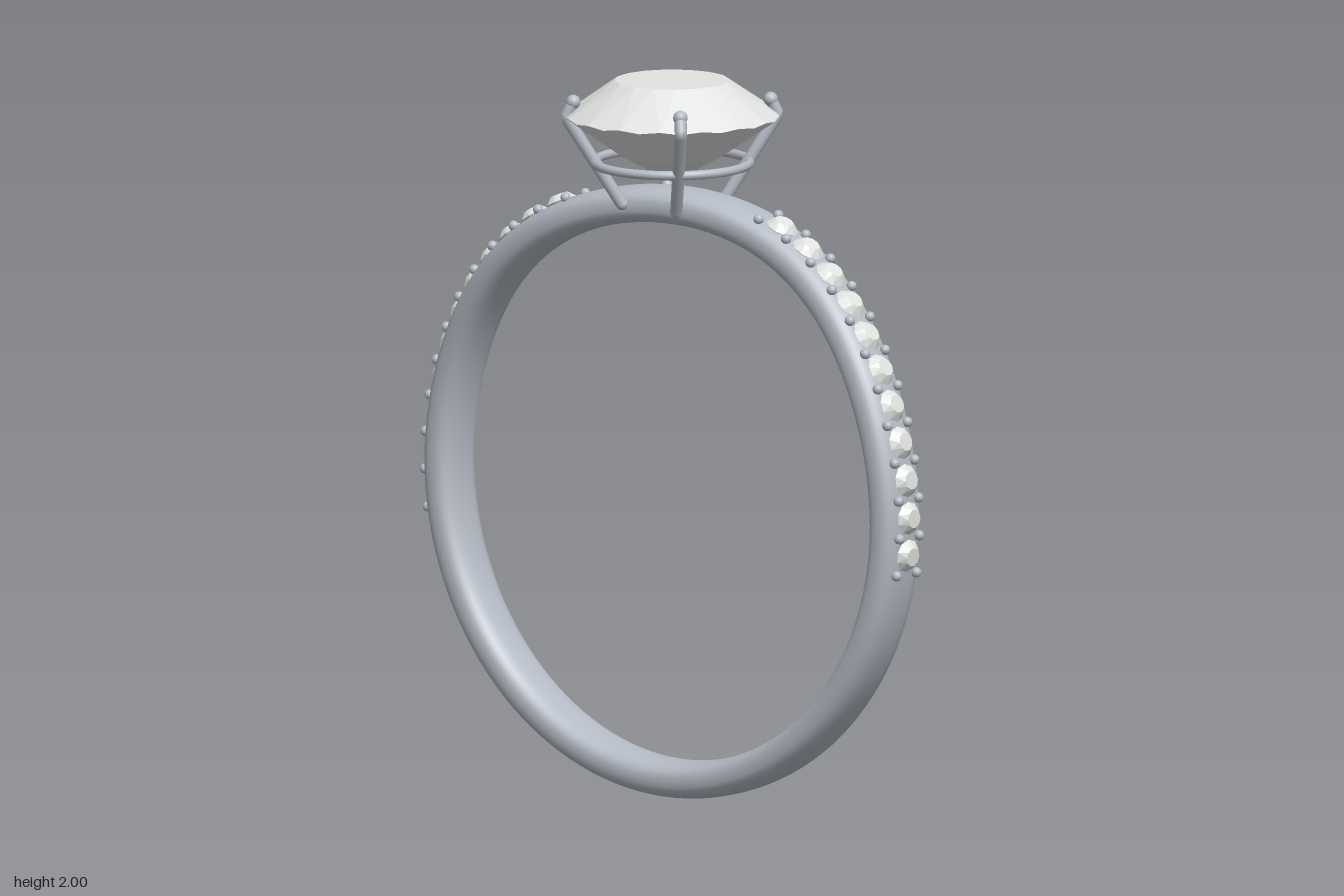
import * as THREE from 'three';

const CENTER_Y = 0.853;  // middle of the finger hole
const RADIUS = 0.8;      // centre line of the band

// Sideways sweep of the band: the two shoulders swing to opposite sides near the top
function sway(t) {
  const c = Math.max(0, Math.cos(t));
  return -0.139 * Math.sin(t) * c * c * c;
}

// Closed band built from soft-cornered cross-sections, t measured from the top towards +x
function bandGeometry(steps = 128, sides = 32) {
  const positions = [], index = [];
  const soft = v => Math.sign(v) * Math.pow(Math.abs(v), 0.8);
  for (let i = 0; i < steps; i++) {
    const t = (i / steps) * Math.PI * 2;
    for (let j = 0; j < sides; j++) {
      const p = (j / sides) * Math.PI * 2;
      const r = RADIUS + 0.051 * soft(Math.cos(p));
      positions.push(r * Math.sin(t), CENTER_Y + r * Math.cos(t), sway(t) + 0.079 * soft(Math.sin(p)));
      const i2 = (i + 1) % steps, j2 = (j + 1) % sides;
      const a = i * sides + j, b = i * sides + j2, c = i2 * sides + j2, d = i2 * sides + j;
      index.push(a, b, d, b, c, d);
    }
  }
  const g = new THREE.BufferGeometry();
  g.setAttribute('position', new THREE.Float32BufferAttribute(positions, 3));
  g.setIndex(index);
  g.computeVertexNormals();
  return g;
}

// Cut stone: a lathe whose rings are each turned half a step, giving triangular facets
function gemGeometry(profile, sides) {
  const g = new THREE.LatheGeometry(profile.map(p => new THREE.Vector2(p[0], p[1])), sides);
  const pos = g.attributes.position, v = new THREE.Vector3(), up = new THREE.Vector3(0, 1, 0);
  for (let i = 0; i < pos.count; i++) {
    const ring = i % profile.length;
    v.fromBufferAttribute(pos, i).applyAxisAngle(up, ring * Math.PI / sides);
    pos.setXYZ(i, v.x, v.y, v.z);
  }
  g.computeVertexNormals();
  return g;
}

export function createModel() {
  const metal = new THREE.MeshStandardMaterial({ color: 0xb4bac4 });
  metal.name = 'silver metal';
  const crystal = new THREE.MeshStandardMaterial({ color: 0xe0e3e0, flatShading: true });
  crystal.name = 'clear stone';

  const model = new THREE.Group();
  model.name = 'ring';
  const add = (parent, name, geometry, material, x = 0, y = 0, z = 0) => {
    const mesh = new THREE.Mesh(geometry, material);
    mesh.name = name;
    mesh.position.set(x, y, z);
    parent.add(mesh);
    return mesh;
  };

  add(model, 'band', bandGeometry(), metal);

  // Main stone: culet, pavilion, girdle, crown, table
  add(model, 'mainStone', gemGeometry(
    [[0, 1.715], [0.14, 1.79], [0.296, 1.898], [0.296, 1.904], [0.158, 2], [0, 2]], 16), crystal);

  // Setting: gallery wire and four prongs
  const setting = new THREE.Group();
  setting.name = 'setting';
  model.add(setting);
  add(setting, 'galleryWire', new THREE.TorusGeometry(0.213, 0.013, 12, 64), metal, 0, 1.77, 0).rotation.x = Math.PI / 2;
  const path = new THREE.CurvePath();
  const points = [[0.138, 1.655], [0.292, 1.9], [0.272, 1.942]].map(p => new THREE.Vector3(p[0], p[1], 0));
  path.add(new THREE.LineCurve3(points[0], points[1]));
  path.add(new THREE.LineCurve3(points[1], points[2]));
  const prongGeometry = new THREE.TubeGeometry(path, 24, 0.017, 12);
  const tipGeometry = new THREE.SphereGeometry(0.02, 16, 12);
  const footGeometry = new THREE.SphereGeometry(0.017, 16, 12);
  for (let i = 0; i < 4; i++) {
    const prong = new THREE.Group();
    prong.name = 'prong';
    prong.rotation.y = Math.PI / 4 + i * Math.PI / 2;
    add(prong, 'prongWire', prongGeometry, metal);
    add(prong, 'prongTip', tipGeometry, metal, points[2].x, points[2].y, 0);
    add(prong, 'prongFoot', footGeometry, metal, points[0].x, points[0].y, 0);
    setting.add(prong);
  }

  // Shoulders: a row of small stones held by pairs of beads, repeated half a turn round
  const smallStone = gemGeometry([[0, -0.035], [0.046, 0], [0.026, 0.02], [0, 0.02]], 10);
  const bead = new THREE.SphereGeometry(0.0145, 12, 10);
  const step = THREE.MathUtils.degToRad(7.06), first = THREE.MathUtils.degToRad(95.6), count = 11;
  for (const turn of [0, Math.PI]) {
    const shoulder = new THREE.Group();
    shoulder.name = turn ? 'rightShoulder' : 'leftShoulder';
    shoulder.rotation.y = turn;
    model.add(shoulder);
    const place = (name, geometry, material, t, r, z) => {
      const mesh = add(shoulder, name, geometry, material,
        r * Math.sin(t), CENTER_Y + r * Math.cos(t), sway(t) + z);
      mesh.rotation.z = -t;
    };
    for (let i = 0; i <= count; i++) {
      const t = first - i * step;
      if (i < count) place('smallStone', smallStone, crystal, t, 0.851, 0);
      for (const side of [-1, 1]) place('bead', bead, metal, t + step / 2, 0.853, side * 0.042);
    }
  }
  return model;
}
